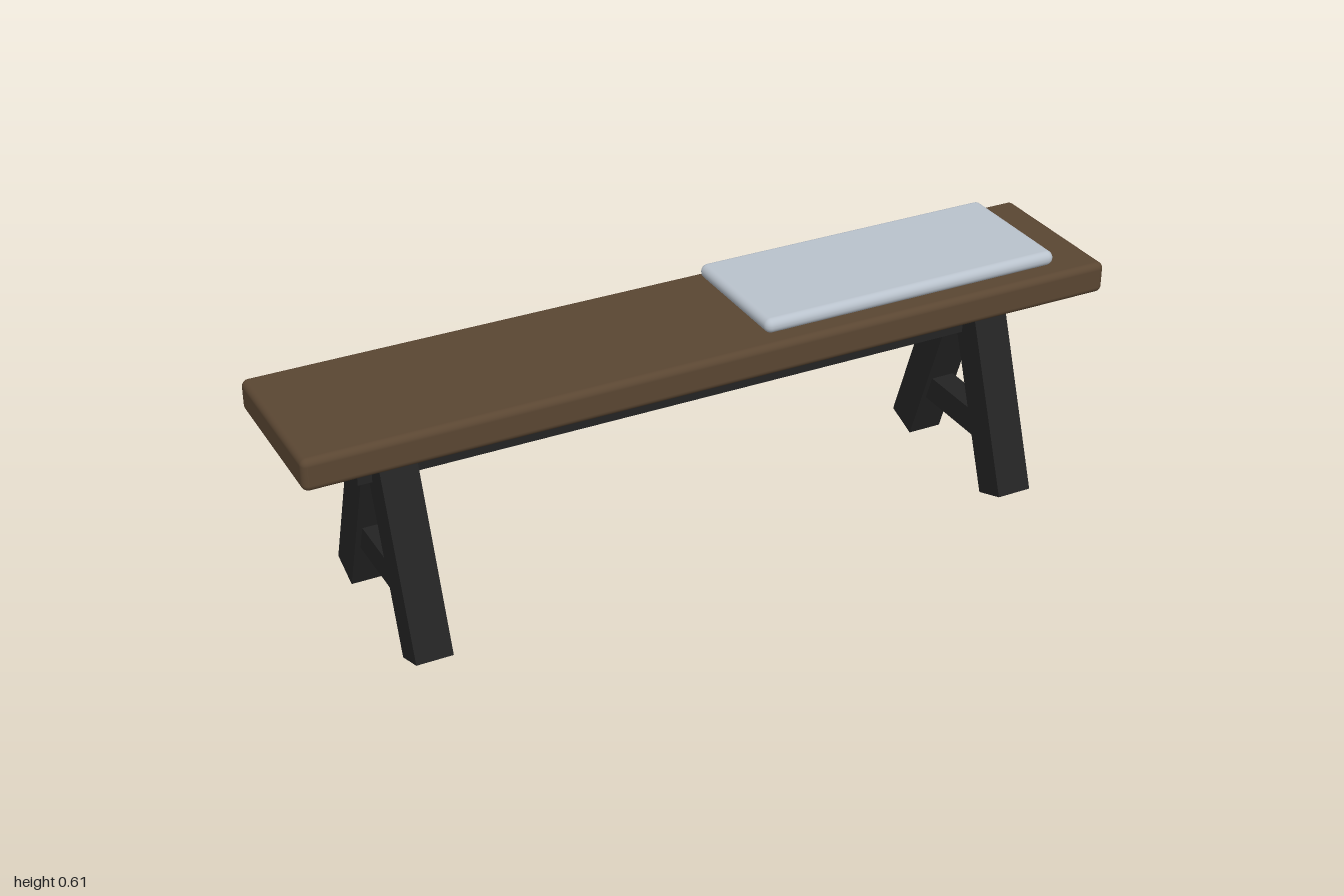
import * as THREE from 'three';
import { RoundedBoxGeometry } from 'three/addons/geometries/RoundedBoxGeometry.js';

export function createModel() {
  const model = new THREE.Group();
  model.name = 'bench';

  const material = (name, color) => {
    const m = new THREE.MeshStandardMaterial({ color });
    m.name = name;
    return m;
  };
  const wood = material('brown wood', 0x5a4632);
  const frame = material('black frame', 0x232323);
  const cloth = material('pale grey cloth', 0xb9c2cc);

  const add = (parent, name, geometry, mat, x, y, z) => {
    const mesh = new THREE.Mesh(geometry, mat);
    mesh.name = name;
    mesh.position.set(x, y, z);
    parent.add(mesh);
    return mesh;
  };

  // Seat plank and the cushion lying on its left half
  add(model, 'seat', new RoundedBoxGeometry(2, 0.077, 0.4, 4, 0.016), wood, 0, 0.5385, 0);
  add(model, 'cushion', new RoundedBoxGeometry(0.775, 0.036, 0.334, 5, 0.0175), cloth, 0.4975, 0.595, -0.01);

  // Long beam under the seat
  add(model, 'beam', new THREE.BoxGeometry(1.665, 0.115, 0.088), frame, 0, 0.4465, 0);

  // A-shaped trestles: two splayed legs, tops sunk into the seat, and a stretcher
  const tilt = THREE.MathUtils.degToRad(20);
  const length = 0.54;
  const legGeometry = new THREE.BoxGeometry(0.088, length, 0.088);
  const stretcherGeometry = new THREE.BoxGeometry(0.06, 0.065, 0.25);
  for (const side of [-1, 1]) {
    const trestle = new THREE.Group();
    trestle.name = side > 0 ? 'leftTrestle' : 'rightTrestle';
    trestle.position.x = side * 0.755;
    for (const end of [-1, 1]) {
      const leg = add(trestle, end > 0 ? 'frontLeg' : 'backLeg', legGeometry, frame, 0,
        0.0155 + Math.cos(tilt) * length / 2,
        end * (0.2035 - Math.sin(tilt) * length / 2));
      leg.rotation.x = -end * tilt;
    }
    add(trestle, 'stretcher', stretcherGeometry, frame, 0, 0.156, 0);
    model.add(trestle);
  }
  return model;
}
